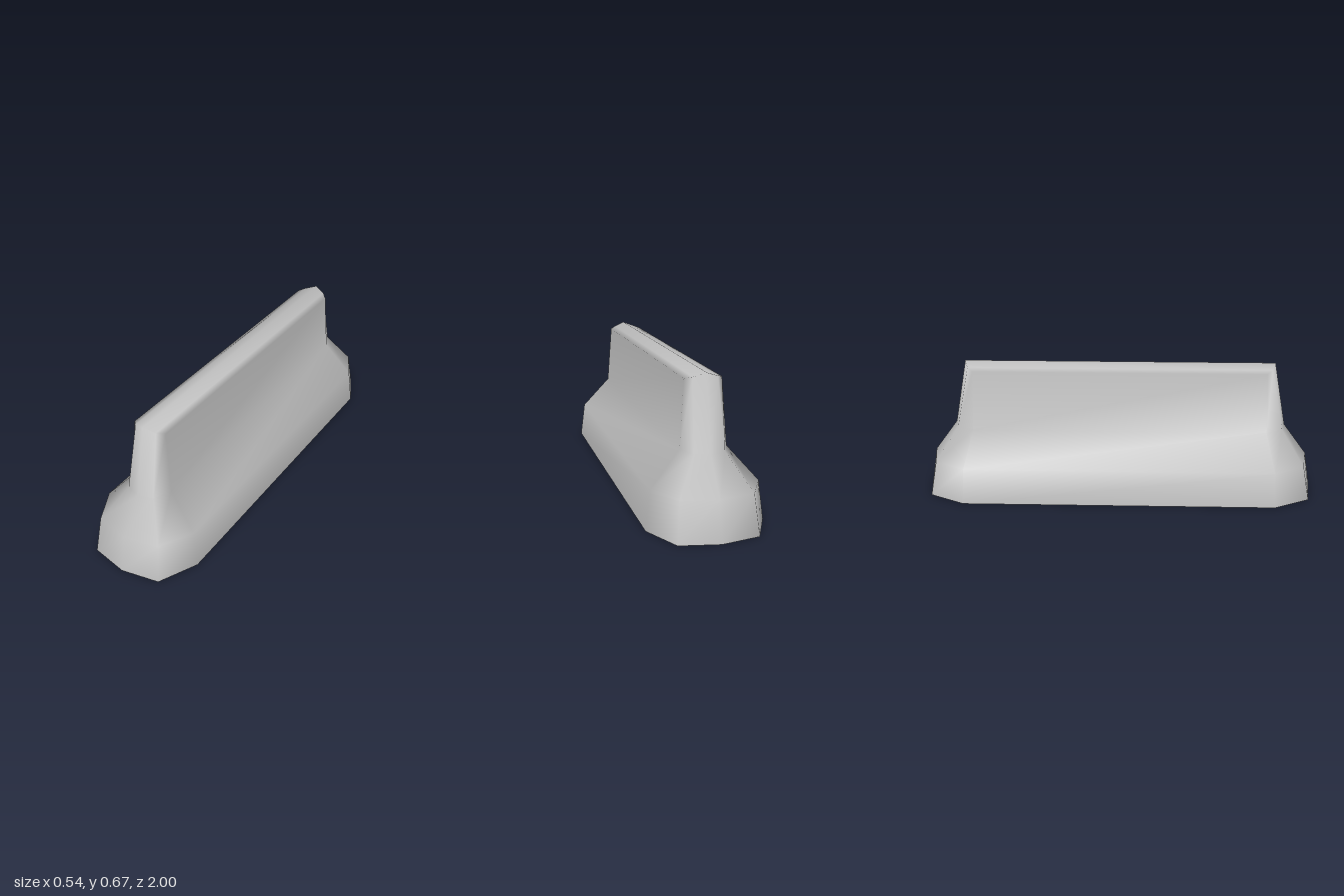
import * as THREE from 'three';

// Each level: y, half width, side corner z, shoulder x and z, end tip z
const LEVELS = [
  { y: 0, w: 0.268, zs: 0.785, m: 0.18, zm: 0.965, zt: 1 },
  { y: 0.18, w: 0.246, zs: 0.775, m: 0.165, zm: 0.93, zt: 0.965 },
  { y: 0.34, w: 0.106, zs: 0.74, m: 0.07, zm: 0.823, zt: 0.845 },
  { y: 0.643, w: 0.085, zs: 0.725, m: 0.056, zm: 0.755, zt: 0.775, ridge: 0.03 },
];

// Ten-sided outline, counter-clockwise from above; the top level rises to a ridge
function ring({ y, w, zs, m, zm, zt, ridge = 0 }) {
  const outline = [
    [w, zs], [w, -zs], [m, -zm], [0, -zt], [-m, -zm],
    [-w, -zs], [-w, zs], [-m, zm], [0, zt], [m, zm],
  ];
  return outline.flatMap(([x, z]) => [x, y + ridge * (1 - Math.abs(x) / w), z]);
}

function barrierGeometry() {
  const n = 10;
  const index = [];
  const quad = (a, b, c, d) => index.push(a, b, c, a, c, d);

  // Walls between neighbouring levels, open underneath
  for (let k = 0; k < LEVELS.length - 1; k++) {
    for (let i = 0; i < n; i++) {
      const j = (i + 1) % n;
      quad(k * n + i, k * n + j, (k + 1) * n + j, (k + 1) * n + i);
    }
  }

  // Two roof slopes meeting at the ridge
  const t = (LEVELS.length - 1) * n;
  for (const [a, b, c, d] of [[8, 9, 2, 3], [9, 0, 1, 2], [3, 4, 7, 8], [4, 5, 6, 7]]) {
    quad(t + a, t + b, t + c, t + d);
  }

  const geometry = new THREE.BufferGeometry();
  geometry.setAttribute('position', new THREE.Float32BufferAttribute(LEVELS.flatMap(ring), 3));
  geometry.setIndex(index);
  geometry.computeVertexNormals();
  return geometry;
}

export function createModel() {
  const group = new THREE.Group();
  group.name = 'roadBarrier';
  const concrete = new THREE.MeshStandardMaterial({ color: 0xc0c0c0, side: THREE.DoubleSide });
  concrete.name = 'concrete grey';
  const shell = new THREE.Mesh(barrierGeometry(), concrete);
  shell.name = 'barrierShell';
  group.add(shell);
  return group;
}
